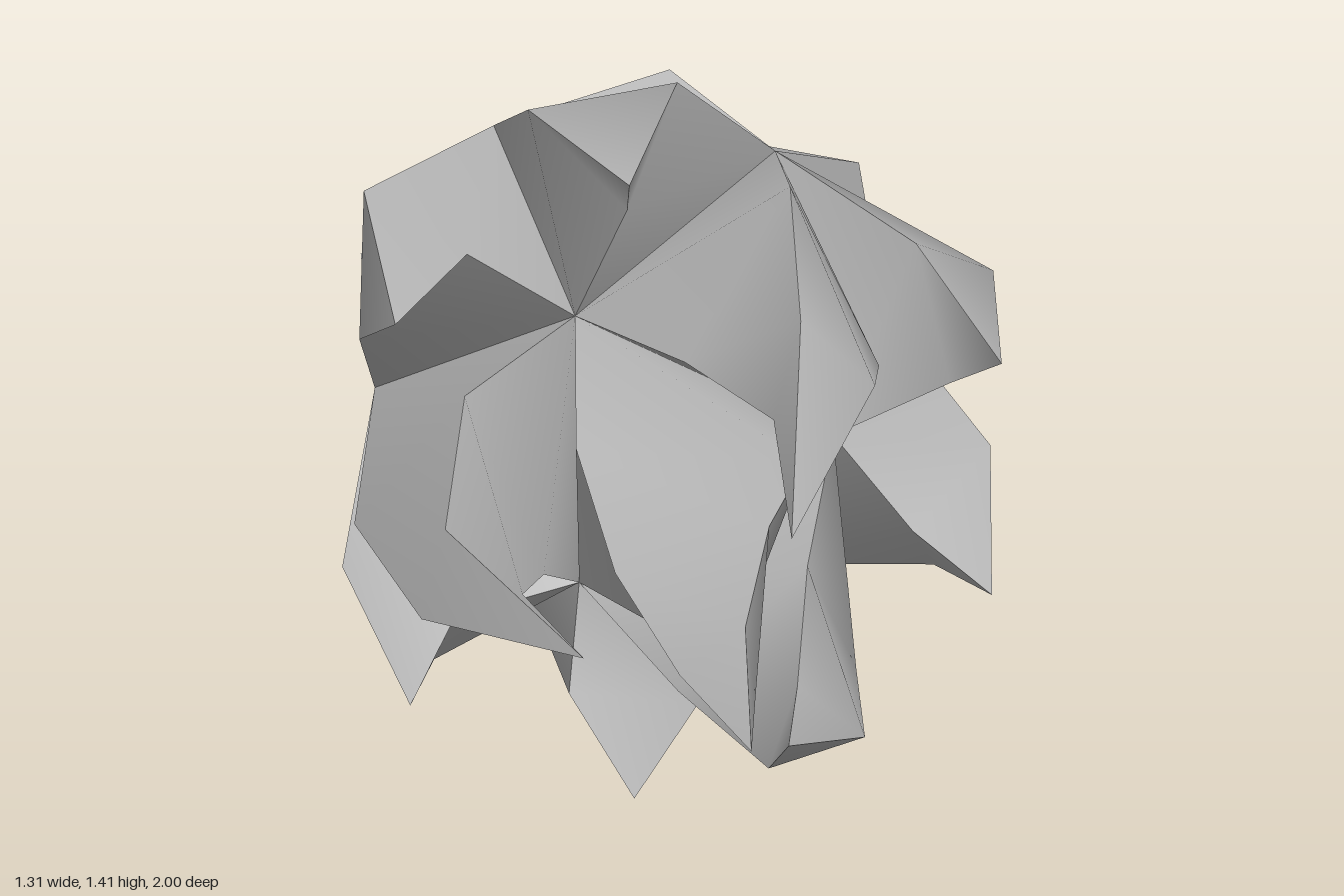
import * as THREE from 'three';

const RAD = Math.PI / 180;
const Z = new THREE.Vector3(0, 0, 1);
const TWIST = 22.5 * RAD;  // turn of each section about the spike
const BEND = -18 * RAD;    // lean of each section towards the front

// The four rings of corners of the twenty-sided core: [radius, z]
const RINGS = [[0.335, 0.435], [0.537, 0.103], [0.537, -0.103], [0.335, -0.435]];
function corner(ring, deg) {
  const [r, z] = RINGS[ring];
  return new THREE.Vector3(r * Math.cos(deg * RAD), r * Math.sin(deg * RAD), z);
}

// Centre line of each kind of spike after its base: [distance from z axis, z]
const LINES = {
  frontSpike: [[0, 0.7175], [0, 1.0], [0, 1.2825], [0, 1.565]],
  innerClaw: [[0.42, 0.596], [0.43, 0.915], [0.244, 1.22]],
  outerClaw: [[0.63, 0.35], [0.66, 0.667]],
  sideStud: [[0.59, -0.055]],
  backStud: [[0.395, -0.435]],
  backFace: [[0, -0.435]],
};

// A tapered, twisted and bent spike on one triangular face of the core
function spike(name, tri, material) {
  const c = tri[0].clone().add(tri[1]).add(tri[2]).divideScalar(3);
  const n = tri[1].clone().sub(tri[0]).cross(tri[2].clone().sub(tri[0])).normalize();
  if (n.dot(c) < 0) {
    tri = [tri[0], tri[2], tri[1]];
    n.negate();
  }
  const line = LINES[name];
  const straight = Math.hypot(c.x, c.y) < 1e-3;
  const out = straight ? new THREE.Vector3(1, 0, 0) : new THREE.Vector3(c.x, c.y, 0).normalize();
  const side = Z.clone().cross(out);

  // Sections from the base to the tip
  const sections = [tri];
  line.forEach(([r, z], i) => {
    const k = i + 1;
    const mid = out.clone().multiplyScalar(r).addScaledVector(Z, z);
    sections.push(tri.map((v) => v.clone().sub(c)
      .applyAxisAngle(n, TWIST * k)
      .applyAxisAngle(side, straight ? 0 : BEND * k)
      .multiplyScalar(1 - k / line.length)
      .add(mid)));
  });

  // Each of the three sides has its own corners, so its edges stay sharp
  const pos = [], index = [];
  for (let j = 0; j < 3; j++) {
    const start = pos.length / 3;
    for (const s of sections) pos.push(...s[j].toArray(), ...s[(j + 1) % 3].toArray());
    for (let k = 0; k < line.length; k++) {
      const a = start + 2 * k;
      index.push(a, a + 1, a + 2);
      if (k < line.length - 1) index.push(a + 2, a + 1, a + 3);
    }
  }
  const geo = new THREE.BufferGeometry();
  geo.setAttribute('position', new THREE.Float32BufferAttribute(pos, 3));
  geo.setIndex(index);
  geo.computeVertexNormals();
  const mesh = new THREE.Mesh(geo, material);
  mesh.name = name;
  return mesh;
}

export function createModel() {
  const group = new THREE.Group();
  group.name = 'spikedBloom';
  const grey = new THREE.MeshStandardMaterial({ color: 0xb4b4b4 });
  grey.name = 'grey';

  const add = (name, ...corners) =>
    group.add(spike(name, corners.map(([ring, deg]) => corner(ring, deg)), grey));

  // Long spike at the front and flat face at the back
  add('frontSpike', [0, 0], [0, 120], [0, 240]);
  add('backFace', [3, 60], [3, 180], [3, 300]);

  // Everything else repeats three times around the front axis
  for (let a = 0; a < 360; a += 120) {
    add('innerClaw', [0, a], [1, a + 60], [0, a + 120]);
    add('backStud', [2, a], [3, a + 60], [3, a - 60]);
    for (const s of [-60, 60]) {
      add('outerClaw', [0, a], [2, a], [1, a + s]);
      add('sideStud', [3, a + 60], [1, a + 60], [2, a + 60 + s]);
    }
  }

  group.position.set(-0.035, 0.725, -0.565);
  const model = new THREE.Group();
  model.name = 'model';
  model.add(group);
  return model;
}
